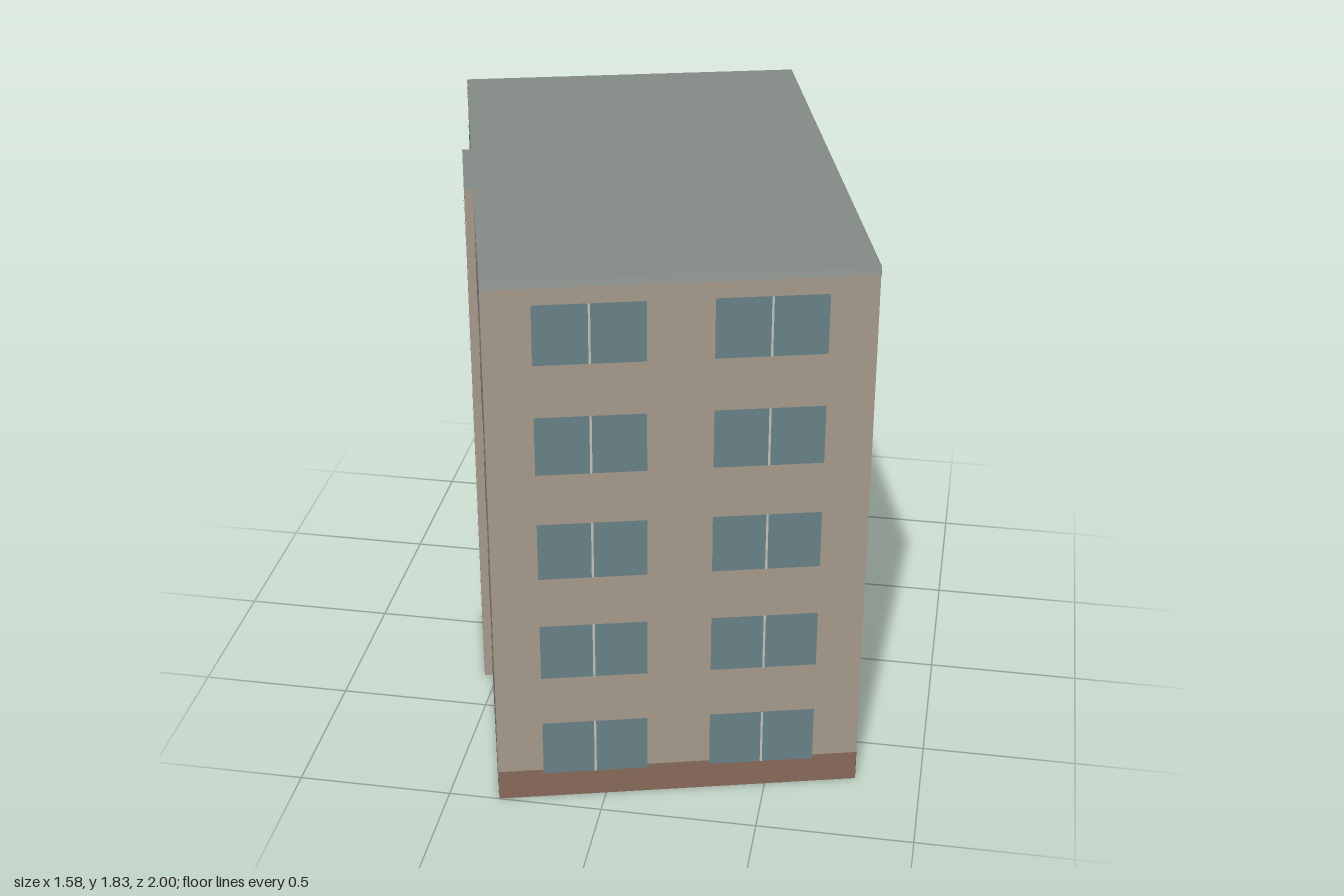
import * as THREE from 'three';

const W = 1.1626, L = 1.757, H = 1.827;      // footprint and height
const FLOORS = 5, STOREY = 0.3655;
const BAY_DEPTH = 0.029, BAY_MID = -0.004, BAY_HALF = 0.178;

const mat = (color) => new THREE.MeshStandardMaterial({ color, side: THREE.DoubleSide });
const M = {
  wall: mat(0xa89b8d), plinth: mat(0x8a6a5c), fascia: mat(0x9a9f9b), roof: mat(0x868d89),
  glass: mat(0x6a8389), paleGlass: mat(0x78909a), frame: mat(0xc4c4ba), balcony: mat(0x7f918f),
};

// Flat upright panel centred on (x, y), lying z in front of its wall
function panel(parent, name, w, h, x, y, z, material) {
  const mesh = new THREE.Mesh(new THREE.PlaneGeometry(w, h), material);
  mesh.name = name;
  mesh.position.set(x, y, z);
  parent.add(mesh);
}

// Shallow railing with a glazed infill, top rail and bottom rail
function railing(parent, w, x, y) {
  const g = new THREE.Group();
  g.name = 'balconyRailing';
  const bar = (name, h, dy, d, m) => {
    const b = new THREE.Mesh(new THREE.BoxGeometry(w, h, d), m);
    b.name = name;
    b.position.set(0, dy, d / 2);
    g.add(b);
  };
  bar('railingInfill', 0.054, 0, 0.006, M.balcony);
  bar('topRail', 0.006, 0.029, 0.008, M.frame);
  bar('bottomRail', 0.004, -0.029, 0.008, M.frame);
  g.position.set(x, y, 0.002);
  parent.add(g);
}

// Wall from p to q; inside its group x runs along the wall and z points outwards
function wall(name, p, q, trimmed = true) {
  const g = new THREE.Group();
  g.name = name;
  const dx = q[0] - p[0], dz = q[1] - p[1], len = Math.hypot(dx, dz);
  g.position.set((p[0] + q[0]) / 2, 0, (p[1] + q[1]) / 2);
  g.rotation.y = Math.atan2(-dz, dx);
  panel(g, 'wallFace', len, H, 0, H / 2, 0, M.wall);
  if (trimmed) {
    panel(g, 'plinth', len, 0.105, 0, 0.0525, 0.001, M.plinth);
    panel(g, 'fascia', len, 0.027, 0, H - 0.0135, 0.001, M.fascia);
  }
  return g;
}

// One column of windows; mullion, rail and pale decide the details per floor
function windows(parent, x, w, { mullion = () => false, rail = () => false, pale = () => false }) {
  for (let f = 0; f < FLOORS; f++) {
    const y = 0.189 + f * STOREY;
    panel(parent, 'windowGlass', w, 0.194, x, y, 0.002, pale(f) ? M.paleGlass : M.glass);
    if (mullion(f)) panel(parent, 'mullion', 0.007, 0.194, x, y, 0.003, M.frame);
    if (rail(f)) railing(parent, w + 0.004, x, y - 0.065);
  }
}

export function createModel() {
  const model = new THREE.Group();
  model.name = 'apartmentBlock';
  const building = new THREE.Group();
  building.name = 'building';
  building.rotation.y = 0.261;
  model.add(building);

  // Footprint corners, including the shallow bay on the right-hand (-x) side
  const a = W / 2, b = L / 2, z0 = BAY_MID - BAY_HALF, z1 = BAY_MID + BAY_HALF, o = -a - BAY_DEPTH;
  const pts = [[-a, b], [a, b], [a, -b], [-a, -b], [-a, z0], [o, z0], [o, z1], [-a, z1]];
  const names = ['frontWall', 'leftWall', 'backWall', 'rightWallRear',
    'bayRearCheek', 'bayFace', 'bayFrontCheek', 'rightWallFront'];
  const walls = {};
  names.forEach((name, i) => {
    walls[name] = wall(name, pts[i], pts[(i + 1) % pts.length], !name.endsWith('Cheek'));
    building.add(walls[name]);
  });

  // Windows
  const always = () => true;
  for (const s of [-1, 1]) {
    windows(walls.frontWall, s * 0.268, 0.336, { mullion: always });
    windows(walls.backWall, s * 0.268, 0.336, { rail: (f) => s < 0 && f >= 1 && f <= 3 });
  }
  for (const i of [-1, 0, 1]) {
    windows(walls.leftWall, i * 0.554, 0.344, {
      mullion: (f) => f === 0,
      rail: (f) => i === 1 && f === 1,
      pale: (f) => i === -1 && f === 4,
    });
  }
  windows(walls.rightWallRear, 0, 0.37, { mullion: always });
  windows(walls.rightWallFront, 0, 0.37, { mullion: always });
  windows(walls.bayFace, 0, 0.2, { mullion: always });

  // Flat roof following the footprint
  const shape = new THREE.Shape(pts.map(([x, z]) => new THREE.Vector2(x, -z)));
  const roof = new THREE.Mesh(new THREE.ShapeGeometry(shape), M.roof);
  roof.name = 'roof';
  roof.rotation.x = -Math.PI / 2;
  roof.position.y = H;
  building.add(roof);

  return model;
}
